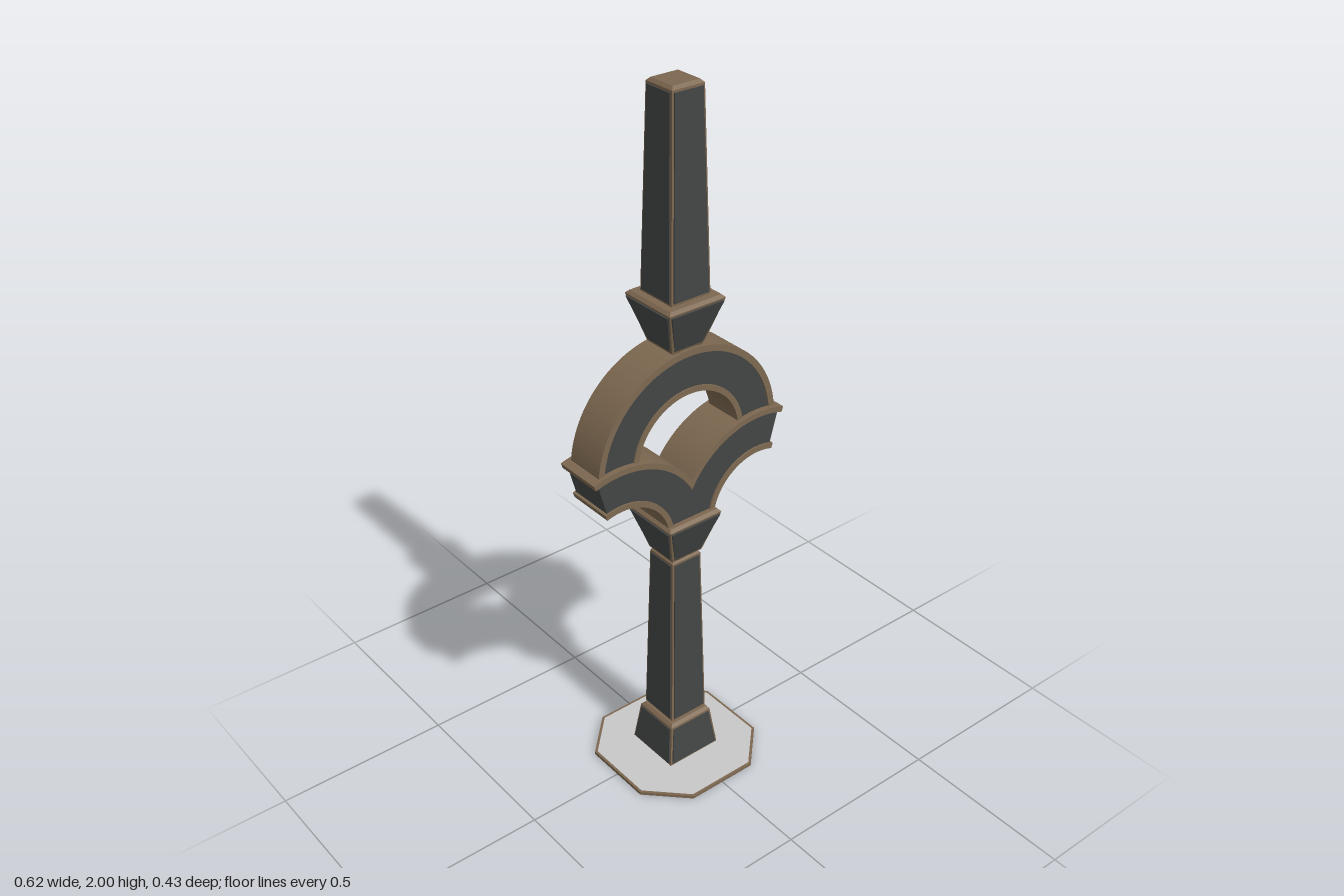
import * as THREE from 'three';

const bronze = new THREE.MeshStandardMaterial({ color: 0x7d6850 });
const darkStone = new THREE.MeshStandardMaterial({ color: 0x434545 });
const paleStone = new THREE.MeshStandardMaterial({ color: 0xc8c8c8 });
bronze.name = 'bronze';
darkStone.name = 'darkStone';
paleStone.name = 'paleStone';

function add(parent, name, geometry, material) {
  const mesh = new THREE.Mesh(geometry, material);
  mesh.name = name;
  parent.add(mesh);
  return mesh;
}

// Box whose half sizes change from [x, z] at y0 to [x, z] at y1
function frustum(y0, [x0, z0], y1, [x1, z1]) {
  const g = new THREE.BoxGeometry(2, 2, 2);
  const p = g.attributes.position;
  for (let i = 0; i < p.count; i++) {
    const top = p.getY(i) > 0;
    p.setXYZ(i, p.getX(i) * (top ? x1 : x0), top ? y1 : y0, p.getZ(i) * (top ? z1 : z0));
  }
  const flat = g.toNonIndexed();
  flat.computeVertexNormals();
  return flat;
}

// Tapered square block: bronze frame with chamfered ends and a dark panel on each side
function block(parent, name, y0, w0, y1, w1) {
  const group = new THREE.Group();
  group.name = name;
  const c = 0.008, raise = 0.003, edge = 0.006;
  add(group, 'frame', frustum(y0 + c, [w0, w0], y1 - c, [w1, w1]), bronze);
  add(group, 'lowerChamfer', frustum(y0, [w0 - c, w0 - c], y0 + c, [w0, w0]), bronze);
  add(group, 'upperChamfer', frustum(y1 - c, [w1, w1], y1, [w1 - c, w1 - c]), bronze);
  const b = y0 + 0.014, t = y1 - 0.014;
  add(group, 'frontBackPanels', frustum(b, [w0 - edge, w0 + raise], t, [w1 - edge, w1 + raise]), darkStone);
  add(group, 'sidePanels', frustum(b, [w0 + raise, w0 - edge], t, [w1 + raise, w1 - edge]), darkStone);
  parent.add(group);
}

function extrude(shape, halfDepth) {
  const g = new THREE.ExtrudeGeometry(shape, { depth: 2 * halfDepth, bevelEnabled: false, curveSegments: 40 });
  return g.translate(0, 0, -halfDepth);
}

// Half ring standing on its ends
function archBand(r0, r1, halfDepth) {
  const s = new THREE.Shape();
  s.absarc(0, 0, r1, 0, Math.PI, false);
  s.absarc(0, 0, r0, Math.PI, 0, true);
  return extrude(s, halfDepth).translate(0, 1.035, 0);
}

// Curved arm section, cut off at the middle plane x = 0
function armBand(r0, r1, endDegrees, halfDepth) {
  const cx = 0.227, cy = 0.794;
  const end = THREE.MathUtils.degToRad(endDegrees);
  const stop = r => (r > cx ? Math.acos(-cx / r) : Math.PI);
  const s = new THREE.Shape();
  s.absarc(cx, cy, r1, end, stop(r1), false);
  if (r1 > cx && r0 < cx) s.lineTo(0, cy);
  s.absarc(cx, cy, r0, stop(r0), end, true);
  return extrude(s, halfDepth);
}

// Octagon lying flat from y = 0 up to the given height
function octagon(w, height) {
  const h = w / 2;
  const pts = [[w, -h], [w, h], [h, w], [-h, w], [-w, h], [-w, -h], [-h, -w], [h, -w]];
  const s = new THREE.Shape(pts.map(([x, y]) => new THREE.Vector2(x, y)));
  const g = new THREE.ExtrudeGeometry(s, { depth: height, bevelEnabled: false });
  return g.rotateX(-Math.PI / 2);
}

export function createModel() {
  const model = new THREE.Group();
  model.name = 'ornamentalPillar';

  // Ground plate: pale slab with a bronze rim
  add(model, 'plateRim', octagon(0.213, 0.009).translate(0, 0.0005, 0), bronze);
  add(model, 'plateTop', octagon(0.206, 0.002).translate(0, 0.008, 0), paleStone);
  add(model, 'plateUnderside', octagon(0.211, 0.002), paleStone);

  // Lower column
  block(model, 'pedestal', 0.01, 0.085, 0.147, 0.07);
  block(model, 'lowerShaft', 0.147, 0.06, 0.695, 0.048);
  block(model, 'lowerCapital', 0.69, 0.05, 0.832, 0.087);

  // Two curved arms branching from the lower capital
  for (const [name, turn] of [['leftArm', 0], ['rightArm', Math.PI]]) {
    const arm = new THREE.Group();
    arm.name = name;
    add(arm, 'body', armBand(0.165, 0.262, 74.5, 0.065), darkStone);
    add(arm, 'upperRim', armBand(0.259, 0.275, 72, 0.07), bronze);
    add(arm, 'lowerRim', armBand(0.153, 0.169, 72, 0.07), bronze);
    arm.rotation.y = turn;
    model.add(arm);
  }

  // Arch resting on the arms
  const arch = new THREE.Group();
  arch.name = 'arch';
  add(arch, 'body', archBand(0.175, 0.28, 0.054), darkStone);
  add(arch, 'outerRim', archBand(0.272, 0.29, 0.058), bronze);
  add(arch, 'innerRim', archBand(0.165, 0.181, 0.058), bronze);
  model.add(arch);

  // Upper column
  block(model, 'upperCapital', 1.318, 0.05, 1.462, 0.088);
  block(model, 'upperShaft', 1.455, 0.061, 2, 0.048);

  return model;
}
